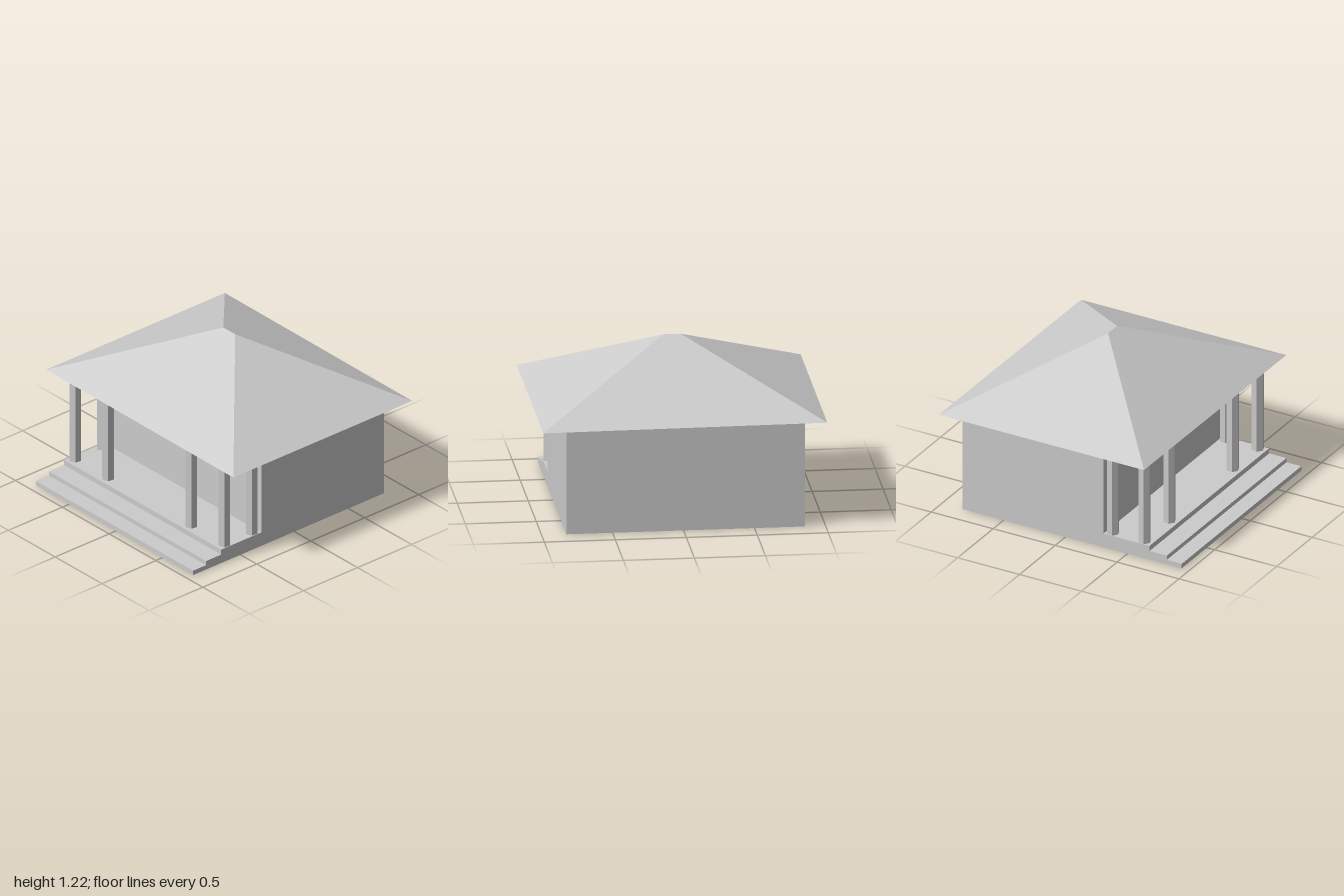
import * as THREE from 'three';

const material = new THREE.MeshStandardMaterial({ color: 0xcccccc, flatShading: true });
const CX = -0.014; // centre line of the house body
const WIDTH = 1.68;

function addMesh(parent, name, geometry) {
  const mesh = new THREE.Mesh(geometry, material);
  mesh.name = name;
  parent.add(mesh);
  return mesh;
}

// House block, porch floor and steps: one side profile (z, y) swept across x
function bodyGeometry() {
  const profile = [
    [-0.83, 0], [0.938, 0], [0.938, 0.035], [0.818, 0.035], [0.818, 0.068],
    [0.678, 0.068], [0.678, 0.108], [0.307, 0.108], [0.307, 0.78], [-0.83, 0.78],
  ];
  const shape = new THREE.Shape(profile.map(([z, y]) => new THREE.Vector2(-z, y)));
  const geometry = new THREE.ExtrudeGeometry(shape, { depth: WIDTH, bevelEnabled: false });
  return geometry.rotateY(Math.PI / 2).translate(CX - WIDTH / 2, 0, 0);
}

// Hipped roof with a short ridge, a flat underside and a very slight tilt
function roofGeometry() {
  const left = 0.777, right = 0.787, front = 0.717, back = -0.94, ridgeZ = -0.112;
  const points = [
    [-1, right, front], [1, left, front], [1, left, back], [-1, right, back],
    [-0.062, 1.22, ridgeZ], [0.064, 1.22, ridgeZ],
  ];
  const faces = [
    0, 1, 5, 0, 5, 4, // front slope
    1, 2, 5, // left hip
    2, 3, 4, 2, 4, 5, // back slope
    3, 0, 4, // right hip
    0, 3, 2, 0, 2, 1, // underside
  ];
  const indexed = new THREE.BufferGeometry();
  indexed.setAttribute('position', new THREE.Float32BufferAttribute(points.flat(), 3));
  indexed.setIndex(faces);
  const geometry = indexed.toNonIndexed();
  geometry.computeVertexNormals();
  return geometry;
}

export function createModel() {
  const model = new THREE.Group();
  model.name = 'house';

  addMesh(model, 'bodyAndSteps', bodyGeometry());
  addMesh(model, 'roof', roofGeometry());

  // Six-sided porch columns: four along the front, two against the wall
  const columns = new THREE.Group();
  columns.name = 'columns';
  model.add(columns);
  const bottom = 0.105, top = 0.768;
  const columnGeometry = new THREE.CylinderGeometry(
    0.046, 0.046, top - bottom, 6, 1, false, THREE.MathUtils.degToRad(-9));
  const placements = [
    ['frontOuterColumn', 0.795, 0.612],
    ['frontInnerColumn', 0.445, 0.612],
    ['rearColumn', 0.795, 0.357],
  ];
  for (const [name, x, z] of placements) {
    for (const side of [-1, 1]) {
      const column = addMesh(columns, name + (side > 0 ? 'Left' : 'Right'), columnGeometry);
      column.position.set(CX + side * x, (bottom + top) / 2, z);
    }
  }
  return model;
}
